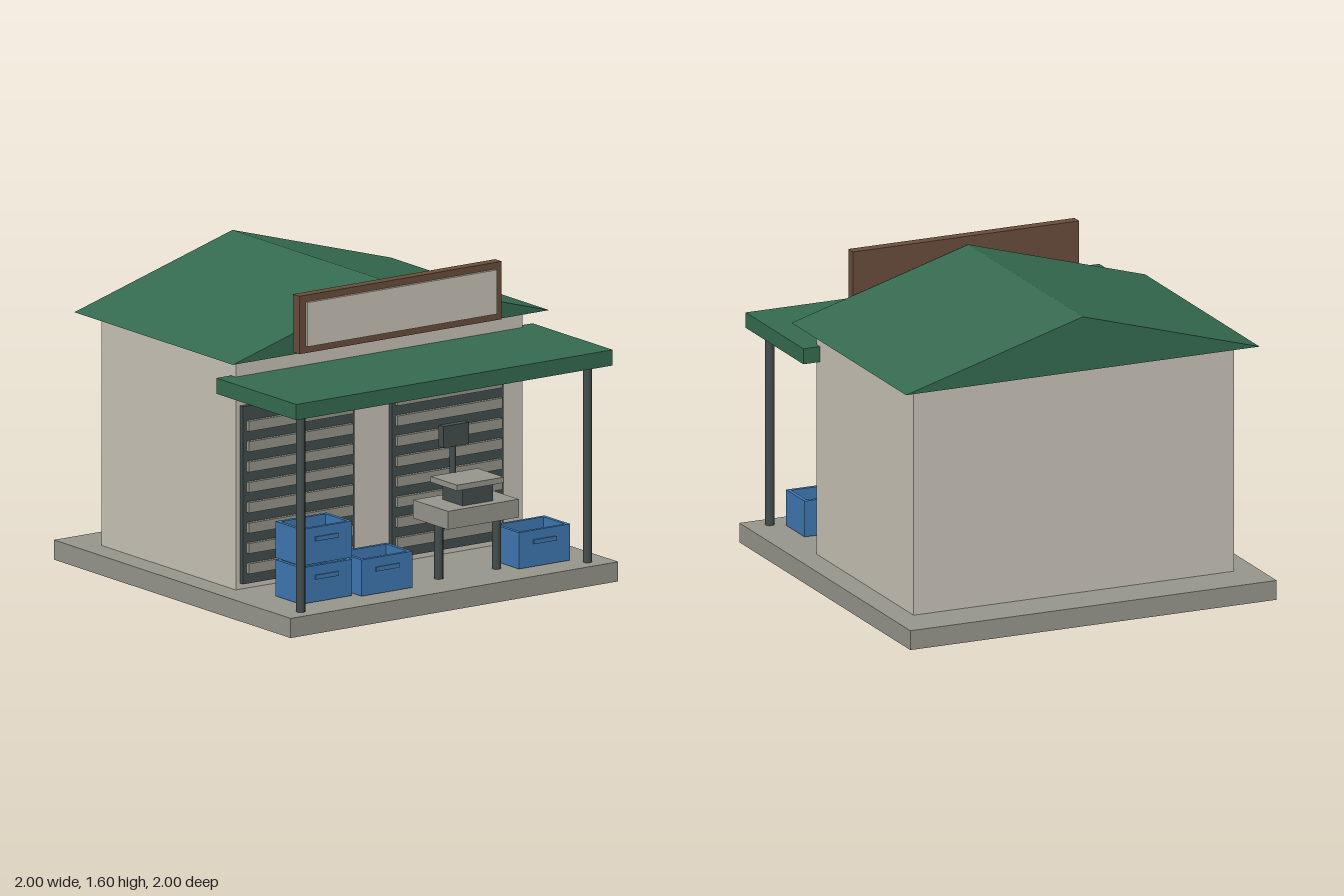
import * as THREE from 'three';

const material = (name, color) => {
  const m = new THREE.MeshStandardMaterial({ color });
  m.name = name;
  return m;
};

export function createModel() {
  const concrete = material('concrete grey', 0x96968c);
  const plaster = material('warm plaster', 0xc9c3b7);
  const green = material('roof green', 0x356b50);
  const metal = material('dark metal', 0x434d4d);
  const blue = material('crate blue', 0x3f78b2);
  const brown = material('sign brown', 0x694d3c);

  const model = new THREE.Group();
  model.name = 'marketStall';

  // Box given by its extents on each axis
  const box = (name, mat, [x0, x1], [y0, y1], [z0, z1], parent = model) => {
    const mesh = new THREE.Mesh(new THREE.BoxGeometry(x1 - x0, y1 - y0, z1 - z0), mat);
    mesh.position.set((x0 + x1) / 2, (y0 + y1) / 2, (z0 + z1) / 2);
    mesh.name = name;
    parent.add(mesh);
    return mesh;
  };

  // Upright round post
  const post = (name, x, z, r, y0, y1) => {
    const mesh = new THREE.Mesh(new THREE.CylinderGeometry(r, r, y1 - y0, 12), metal);
    mesh.position.set(x, (y0 + y1) / 2, z);
    mesh.name = name;
    model.add(mesh);
  };

  // Building
  box('baseSlab', concrete, [-1, 1], [0, 0.1], [-1, 1]);
  box('walls', plaster, [-0.875, 0.875], [0.1, 1.28], [-0.77, 0.365]);

  // Gable roof with the ridge running front to back
  const gable = new THREE.Shape([
    new THREE.Vector2(-0.965, 1.28),
    new THREE.Vector2(0.965, 1.28),
    new THREE.Vector2(0, 1.56),
  ]);
  const roof = new THREE.Mesh(
    new THREE.ExtrudeGeometry(gable, { depth: 1.34, bevelEnabled: false }), green);
  roof.position.z = -0.875;
  roof.name = 'gableRoof';
  model.add(roof);

  // Awning on two posts
  box('awning', green, [-0.965, 0.965], [1.105, 1.185], [0.325, 1]);
  for (const x of [-0.875, 0.875]) post('awningPost', x, 0.913, 0.023, 0.1, 1.11);

  // Blank sign board
  box('signFrame', brown, [-0.617, 0.617], [1.3, 1.595], [0.49, 0.545]);
  box('signPanel', plaster, [-0.577, 0.577], [1.335, 1.56], [0.545, 0.56]);

  // Shutters with raised slats
  for (const x of [-0.508, 0.4]) {
    const shutter = new THREE.Group();
    shutter.name = 'shutter';
    model.add(shutter);
    box('shutterBack', metal, [x - 0.34, x + 0.34], [0.13, 1.035], [0.365, 0.39], shutter);
    for (let i = 0; i < 8; i++) {
      const y = 0.209 + i * 0.1037;
      box('shutterSlat', concrete, [x - 0.32, x + 0.32], [y - 0.026, y + 0.026], [0.39, 0.41], shutter);
    }
  }

  // Open crates with a raised grip on the front and back
  const crate = (x, y, z) => {
    const g = new THREE.Group();
    g.name = 'crate';
    g.position.set(x, y, z);
    model.add(g);
    const w = 0.156, d = 0.108, h = 0.185, t = 0.02;
    box('crateFloor', blue, [-w, w], [0, 0.025], [-d, d], g);
    for (const s of [-1, 1]) {
      const sideX = [s * w, s * (w - t)].sort((a, b) => a - b);
      const endZ = [s * d, s * (d - t)].sort((a, b) => a - b);
      const gripZ = [s * d, s * (d + 0.007)].sort((a, b) => a - b);
      box('crateSide', blue, sideX, [0.025, h], [-d + t, d - t], g);
      box('crateEnd', blue, [-w, w], [0.025, h], endZ, g);
      box('crateGrip', blue, [-0.07, 0.07], [0.115, 0.137], gripZ, g);
    }
  };
  crate(-0.643, 0.105, 0.703);
  crate(-0.643, 0.3, 0.703);
  crate(-0.303, 0.105, 0.743);
  crate(0.658, 0.105, 0.743);

  // Table
  box('tableTop', concrete, [0.04, 0.473], [0.38, 0.473], [0.595, 0.89]);
  for (const x of [0.08, 0.432]) post('tableLeg', x, 0.757, 0.023, 0.1, 0.38);

  // Weighing scale
  box('scaleBody', metal, [0.165, 0.35], [0.473, 0.562], [0.67, 0.84]);
  box('scalePlate', concrete, [0.113, 0.4], [0.562, 0.591], [0.64, 0.865]);
  post('scaleStem', 0.257, 0.631, 0.016, 0.52, 0.785);
  box('scaleDisplay', metal, [0.177, 0.333], [0.73, 0.84], [0.621, 0.663]);

  return model;
}
